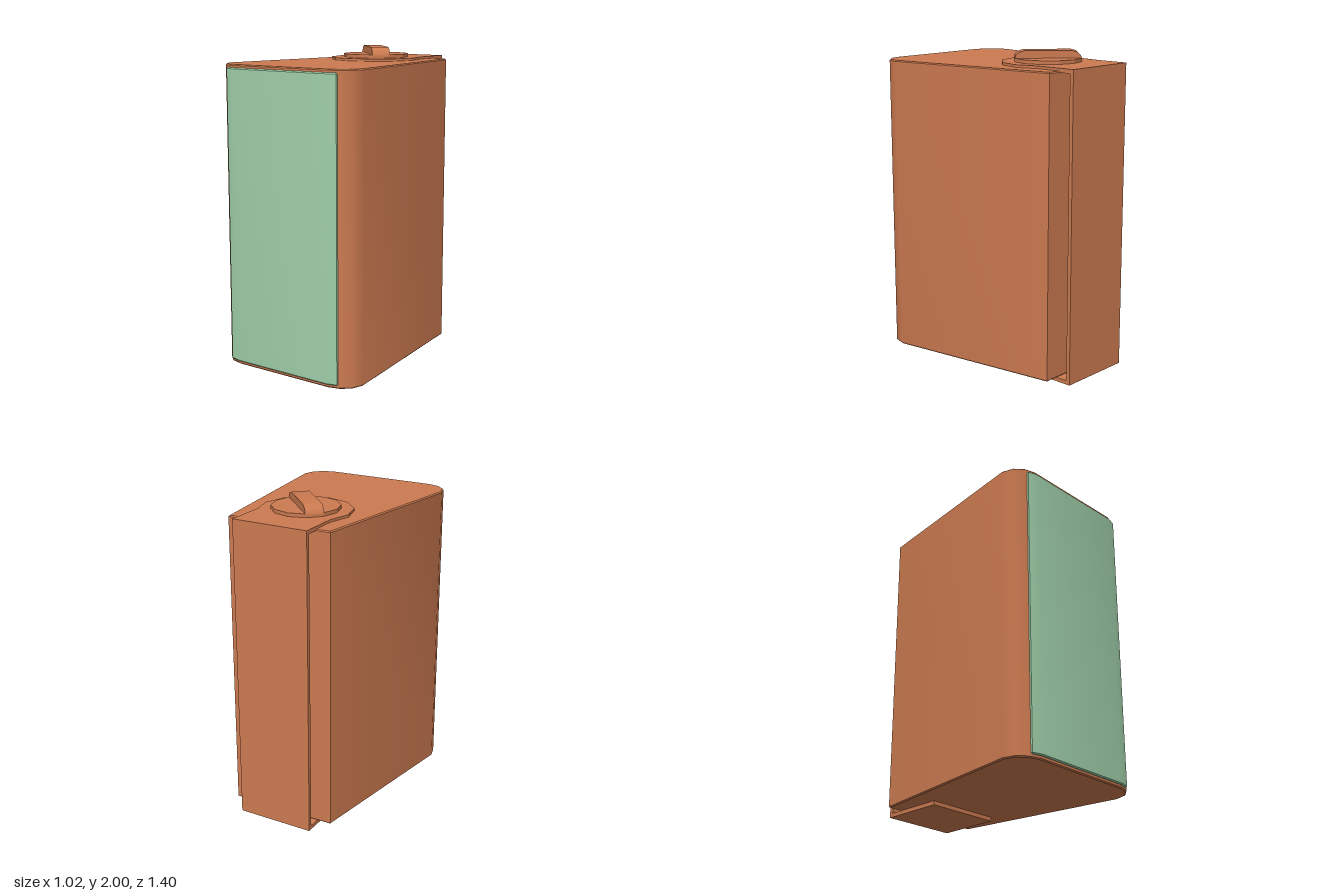
import * as THREE from 'three';
import { toCreasedNormals } from 'three/addons/utils/BufferGeometryUtils.js';

const ORANGE = new THREE.MeshStandardMaterial({ color: 0xcc7a50 });
const GREEN = new THREE.MeshStandardMaterial({ color: 0xa0d0aa });

// Flat polygon extruded, with an optional small chamfer kept inside the outline
function prism(points, depth, bevel = 0) {
  const shape = new THREE.Shape(points.map(([x, y]) => new THREE.Vector2(x, y)));
  const geo = new THREE.ExtrudeGeometry(shape, {
    depth: depth - 2 * bevel, bevelEnabled: bevel > 0, bevelThickness: bevel,
    bevelSize: bevel, bevelOffset: -bevel, bevelSegments: 1,
  });
  return geo.translate(0, 0, bevel);
}

// Horizontal slab from a plan outline of [x, z] points
function slab(plan, y0, y1, bevel = 0) {
  const geo = prism(plan.map(([x, z]) => [x, -z]), y1 - y0, bevel);
  return geo.rotateX(-Math.PI / 2).translate(0, y0, 0);
}

// Completes a right-hand half outline with its mirror image
const mirrored = (half) => [...half, ...half.map(([x, z]) => [-x, z]).reverse()];

export function createModel() {
  const group = new THREE.Group();
  const add = (name, geo, material = ORANGE, crease = 0.55) => {
    const mesh = new THREE.Mesh(toCreasedNormals(geo, crease), material);
    mesh.name = name;
    group.add(mesh);
    return mesh;
  };

  // Tapered cabinet with rounded front corners
  add('cabinet', slab(mirrored([
    [0.345, -0.602], [0.51, 0.537], [0.488, 0.613], [0.432, 0.665], [0.355, 0.686],
  ]), 0.025, 1.916, 0.007));

  // Front grille, wrapping slightly round the corners
  add('grille', slab(mirrored([
    [0.42, 0.65], [0.42, 0.68], [0.355, 0.698],
  ]), 0.046, 1.896, 0.007), GREEN);

  // Wall bracket: back plate, square foot and rounded top arm
  const pivotZ = -0.29;
  const box = (w, y0, y1, z0, z1) =>
    new THREE.BoxGeometry(w, y1 - y0, z1 - z0).translate(0, (y0 + y1) / 2, (z0 + z1) / 2);
  add('bracketBack', box(0.5, 0.005, 1.93, -0.7, -0.675));
  add('bracketFoot', box(0.5, 0, 0.025, -0.7, pivotZ));
  const arm = [[0.25, -0.7]];
  for (let i = -1; i <= 3; i++) {
    const a = (i * Math.PI) / 6;
    arm.push([0.288 * Math.cos(a), pivotZ + 0.288 * Math.sin(a)]);
  }
  arm[arm.length - 1][0] = 0;
  add('bracketArm', slab([...arm, ...arm.slice(0, -1).map(([x, z]) => [-x, z]).reverse()],
    1.906, 1.932), ORANGE, 0.3);

  // Twelve-sided clamp knob with a diagonal grip
  add('knobDisc', new THREE.CylinderGeometry(0.211, 0.211, 0.024, 12)
    .translate(0, 1.942, pivotZ), ORANGE, 0.3);
  const grip = prism([
    [-0.205, 1.95], [0.205, 1.95], [0.198, 1.972], [0.18, 1.99], [0.145, 2],
    [-0.145, 2], [-0.18, 1.99], [-0.198, 1.972],
  ], 0.113).translate(0, 0, -0.0565).rotateY(-Math.PI / 4).translate(0, 0, pivotZ);
  add('knobGrip', grip);

  return group;
}
